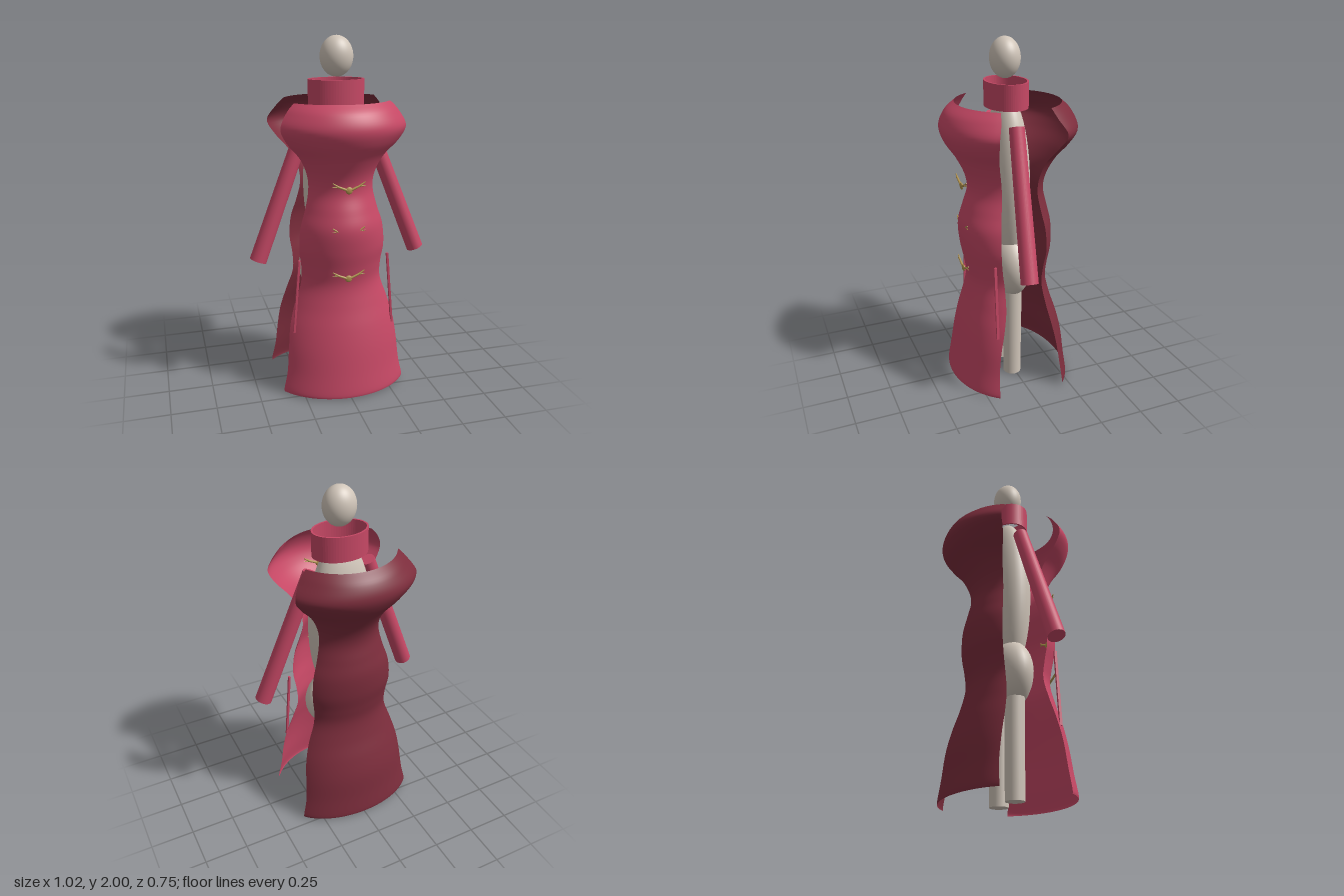
import * as THREE from 'three';

const mat = (name, color, side = THREE.FrontSide) => {
  const m = new THREE.MeshStandardMaterial({ color, side });
  m.name = name;
  return m;
};

// Curved coat panel; each row is [y, half width, z at the middle, z at the side edges]
function panelGeometry(rows) {
  const track = (k) => new THREE.SplineCurve(rows.map((r) => new THREE.Vector2(r[0], r[k])));
  const tracks = [track(1), track(2), track(3)];
  const nu = 40, nv = 96, limit = Math.PI / 3;
  const geo = new THREE.PlaneGeometry(1, 1, nu, nv);
  const pos = geo.attributes.position;
  for (let j = 0; j <= nv; j++) {
    const [w, mid, edge] = tracks.map((c) => c.getPoint(j / nv));
    for (let i = 0; i <= nu; i++) {
      const a = (i / nu * 2 - 1) * limit;
      const x = w.y * Math.sin(a) / Math.sin(limit);
      const z = edge.y + (mid.y - edge.y) * (Math.cos(a) - 0.5) * 2;
      pos.setXYZ(j * (nu + 1) + i, x, w.x, z);
    }
  }
  // The back panel runs the other way round, so turn its faces outward
  if (rows[0][2] < 0) {
    const ix = geo.index.array;
    for (let i = 0; i < ix.length; i += 3) [ix[i], ix[i + 1]] = [ix[i + 1], ix[i]];
  }
  geo.computeVertexNormals();
  return geo;
}

// Round bar between two points
function bar(a, b, ra, rb, material, sides = 24) {
  const dir = b.clone().sub(a);
  const mesh = new THREE.Mesh(new THREE.CylinderGeometry(rb, ra, dir.length(), sides), material);
  mesh.position.copy(a).add(b).multiplyScalar(0.5);
  mesh.quaternion.setFromUnitVectors(new THREE.Vector3(0, 1, 0), dir.normalize());
  return mesh;
}

export function createModel() {
  const root = new THREE.Group();
  root.name = 'coatOnMannequin';
  const rose = mat('roseCloth', 0xc64865);
  const roseSheet = mat('roseSheet', 0xc64865, THREE.DoubleSide);
  const wine = mat('wineCloth', 0x7c2d3c, THREE.DoubleSide);
  const beige = mat('mannequinBeige', 0xd0c5b9);
  const gold = mat('claspGold', 0xb0924e);
  const V = (x, y, z) => new THREE.Vector3(x, y, z);
  const add = (name, mesh, parent = root) => {
    mesh.name = name;
    parent.add(mesh);
    return mesh;
  };

  // Mannequin body
  const ball = (name, y, z, rx, ry, rz) => {
    const m = add(name, new THREE.Mesh(new THREE.SphereGeometry(1, 40, 28), beige));
    m.position.set(0, y, z);
    m.scale.set(rx, ry, rz);
  };
  ball('head', 1.89, 0.016, 0.092, 0.11, 0.083);
  ball('torso', 1.2, 0.01, 0.19, 0.5, 0.122);
  ball('hips', 0.705, 0.008, 0.222, 0.205, 0.126);

  // Front and back coat panels
  add('frontPanel', new THREE.Mesh(panelGeometry([
    [1.66, 0.265, 0.29, 0.145], [1.61, 0.31, 0.348, 0.16], [1.53, 0.346, 0.378, 0.182],
    [1.45, 0.31, 0.355, 0.17], [1.36, 0.235, 0.295, 0.14], [1.26, 0.192, 0.247, 0.115],
    [1.17, 0.186, 0.235, 0.108], [1.07, 0.208, 0.265, 0.12], [0.97, 0.237, 0.29, 0.132],
    [0.85, 0.246, 0.28, 0.135], [0.74, 0.233, 0.258, 0.123], [0.64, 0.235, 0.245, 0.112],
    [0.52, 0.275, 0.265, 0.12], [0.4, 0.307, 0.295, 0.145], [0.28, 0.322, 0.32, 0.17],
    [0.14, 0.335, 0.343, 0.185], [0.04, 0.356, 0.36, 0.19], [0.015, 0.356, 0.36, 0.19],
  ]), roseSheet));
  add('backPanel', new THREE.Mesh(panelGeometry([
    [1.66, 0.265, -0.293, -0.135], [1.61, 0.31, -0.345, -0.155], [1.53, 0.352, -0.374, -0.195],
    [1.45, 0.31, -0.345, -0.165], [1.36, 0.235, -0.275, -0.13], [1.26, 0.192, -0.215, -0.108],
    [1.17, 0.186, -0.195, -0.102], [1.07, 0.208, -0.215, -0.115], [0.97, 0.237, -0.235, -0.13],
    [0.85, 0.246, -0.233, -0.135], [0.74, 0.233, -0.215, -0.122], [0.64, 0.235, -0.205, -0.113],
    [0.52, 0.275, -0.23, -0.125], [0.4, 0.307, -0.27, -0.15], [0.28, 0.322, -0.3, -0.175],
    [0.14, 0.335, -0.315, -0.195], [0.04, 0.356, -0.328, -0.203], [0.015, 0.356, -0.328, -0.203],
  ]), wine));

  // Standing collar: thin oval band, open at top and bottom
  const oval = (rx, rz) => new THREE.Path().absellipse(0, 0, rx, rz, 0, Math.PI * 2, false);
  const band = new THREE.Shape(oval(0.157, 0.116).getPoints(32));
  band.holes.push(oval(0.147, 0.106));
  const collarGeo = new THREE.ExtrudeGeometry(band, { depth: 0.14, bevelEnabled: false, curveSegments: 32 });
  const collar = add('collar', new THREE.Mesh(collarGeo, rose));
  collar.rotation.x = -Math.PI / 2;
  collar.position.set(0, 1.63, 0.01);

  // Paired parts
  for (const s of [1, -1]) {
    const side = s > 0 ? 'left' : 'right';
    add(side + 'Sleeve', bar(V(s * 0.17, 1.55, 0.018), V(s * 0.467, 0.782, 0.065), 0.042, 0.048, rose, 32));
    add(side + 'Leg', bar(V(s * 0.095, 0.005, 0.01), V(s * 0.095, 0.6, 0.01), 0.052, 0.056, beige, 32));
    const strip = add(side + 'SideSlit', new THREE.Mesh(new THREE.BoxGeometry(0.012, 0.43, 0.015), rose));
    strip.position.set(s * 0.273, 0.585, 0.177);
    strip.rotation.z = s * 0.083;
  }

  // Row of winged clasps down the front
  for (let i = 0; i < 4; i++) {
    const clasp = add('clasp' + (i + 1), new THREE.Group());
    clasp.position.set(0, 1.455 - i * 0.25, 0.275);
    const knob = add('claspKnob', new THREE.Mesh(new THREE.SphereGeometry(0.02, 16, 12), gold), clasp);
    knob.scale.z = 0.4;
    for (const s of [1, -1]) {
      add('claspWing', bar(V(s * 0.01, 0.002, 0), V(s * 0.062, 0.024, 0), 0.007, 0.006, gold, 8), clasp);
      add('claspTip', bar(V(s * 0.06, 0.024, 0), V(s * 0.09, 0.044, 0), 0.006, 0.003, gold, 8), clasp);
      add('claspBarb', bar(V(s * 0.055, 0.021, 0), V(s * 0.092, 0.024, 0), 0.005, 0.002, gold, 8), clasp);
    }
  }
  return root;
}
